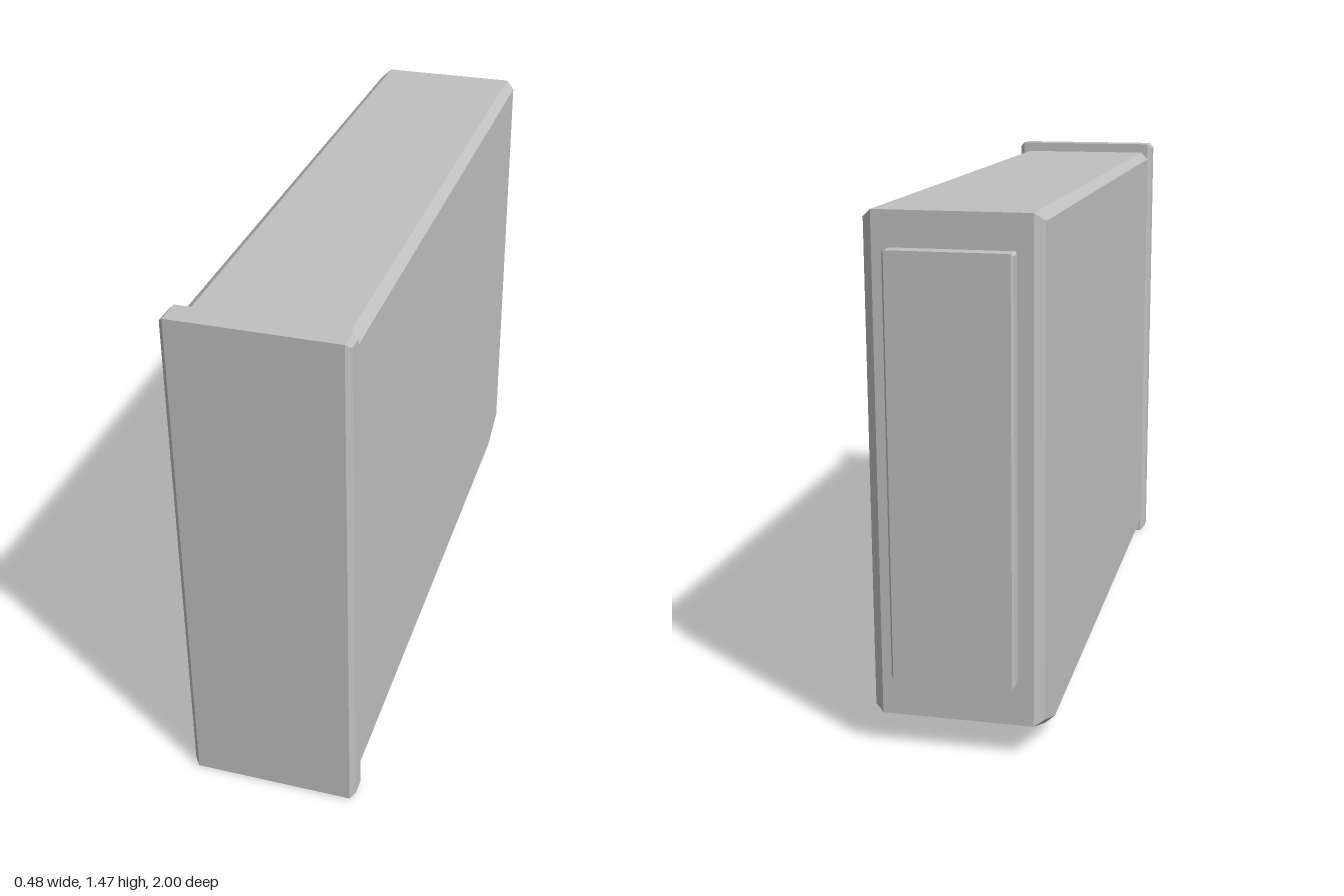
import * as THREE from 'three';
import { toCreasedNormals } from 'three/addons/utils/BufferGeometryUtils.js';

const grey = new THREE.MeshStandardMaterial({ color: 0xc0c0c0 });
grey.name = 'plain grey';

// Side profile of [z, y] points, extruded across x with chamfered side edges
function chamferedSlab(name, profile, halfWidth, chamfer, chamferX = chamfer) {
  const shape = new THREE.Shape(profile.map(([z, y]) => new THREE.Vector2(-z, y)));
  const depth = 2 * (halfWidth - chamferX);
  const extruded = new THREE.ExtrudeGeometry(shape, {
    depth,
    bevelEnabled: true,
    bevelSegments: 1,
    bevelSize: chamfer,
    bevelOffset: -chamfer,
    bevelThickness: chamferX,
  });
  extruded.translate(0, 0, -depth / 2).rotateY(Math.PI / 2);
  const mesh = new THREE.Mesh(toCreasedNormals(extruded, Math.PI / 6), grey);
  mesh.name = name;
  return mesh;
}

const rectangle = (z0, z1, y0, y1) => [[z1, y0], [z0, y0], [z0, y1], [z1, y1]];

export function createModel() {
  const model = new THREE.Group();
  model.name = 'boxModule';

  // Main case, with its lower rear edge cut away
  model.add(chamferedSlab('case', [
    [0.925, 0.034], [-0.8, 0.034], [-0.95, 0.095], [-0.95, 1.436], [0.925, 1.436],
  ], 0.231, 0.021, 0.026));

  // Slightly larger front plate
  model.add(chamferedSlab('frontPlate', rectangle(0.925, 1, 0, 1.466), 0.241, 0.014));

  // Raised connector on the back
  model.add(chamferedSlab('rearConnector', rectangle(-1, -0.95, 0.22, 1.343), 0.165, 0.006));

  return model;
}
